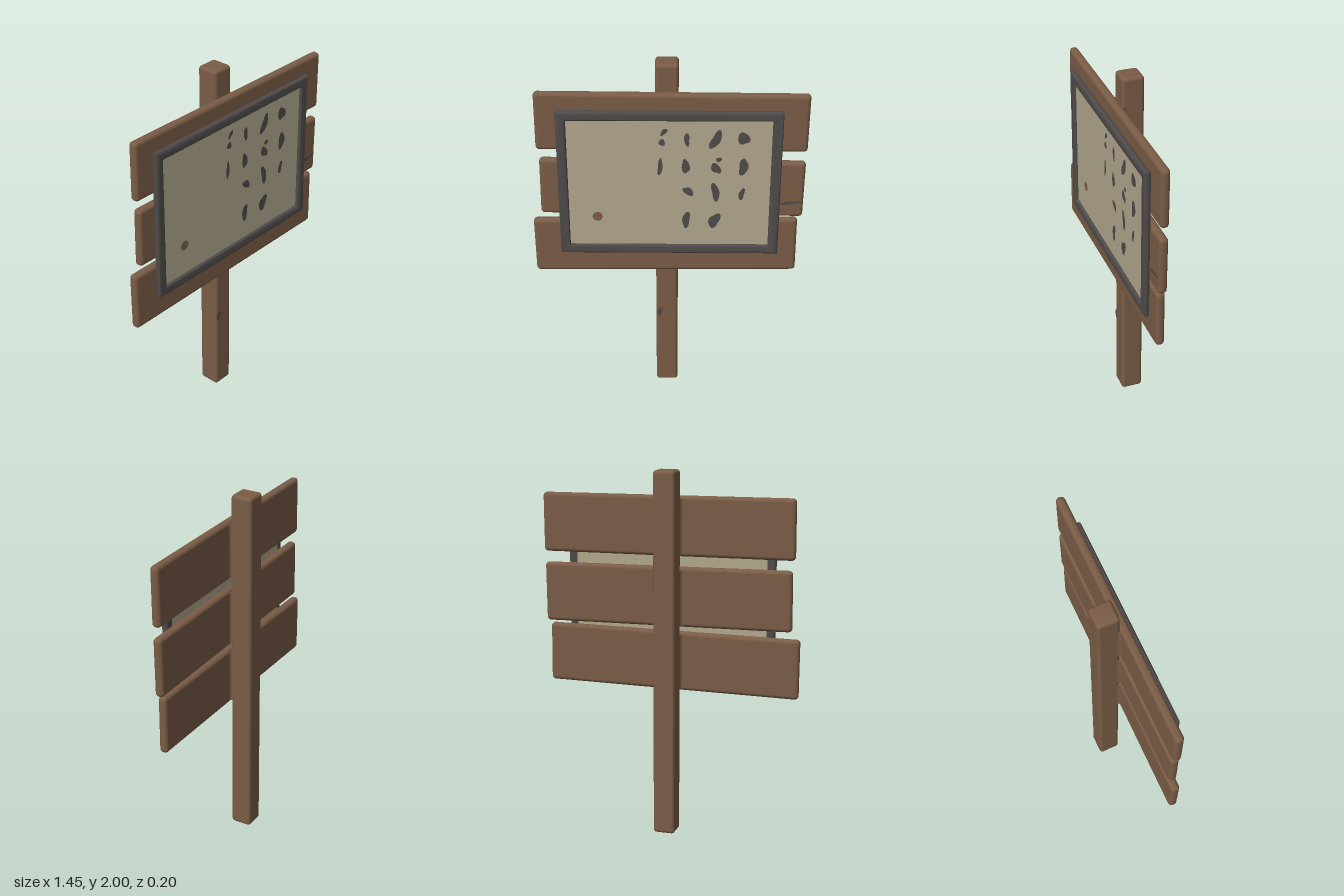
import * as THREE from 'three';
import { RoundedBoxGeometry } from 'three/addons/geometries/RoundedBoxGeometry.js';
import { toCreasedNormals } from 'three/addons/utils/BufferGeometryUtils.js';

const material = (name, color) => {
  const m = new THREE.MeshStandardMaterial({ color });
  m.name = name;
  return m;
};

export function createModel() {
  const model = new THREE.Group();
  model.name = 'noticeSign';
  const wood = material('brown wood', 0x7a5c46);
  const dark = material('charcoal', 0x504b4b);
  const paper = material('aged paper', 0xb1a78d);

  const add = (name, geometry, mat, x = 0, y = 0, z = 0, tilt = 0) => {
    const mesh = new THREE.Mesh(geometry, mat);
    mesh.name = name;
    mesh.position.set(x, y, z);
    mesh.rotation.z = tilt;
    model.add(mesh);
    return mesh;
  };

  // Square post with softened edges, standing behind the boards
  add('post', new RoundedBoxGeometry(0.12, 2, 0.12, 4, 0.018), wood, -0.01, 1, -0.04);

  // Concave fillet that blends a board into the post
  const filletShape = new THREE.Shape();
  filletShape.moveTo(-0.004, 0.004);
  filletShape.lineTo(0.022, 0.004);
  filletShape.lineTo(0.022, 0);
  filletShape.quadraticCurveTo(0, 0, 0, -0.022);
  filletShape.lineTo(-0.004, -0.022);
  filletShape.closePath();

  // Three slightly crooked boards: name, centre x, centre y, width, height, tilt
  const boards = [
    ['topBoard', 0.015, 1.696, 1.41, 0.325, -0.006],
    ['middleBoard', 0.0175, 1.312, 1.392, 0.328, -0.011],
    ['bottomBoard', -0.0175, 0.959, 1.412, 0.326, 0.008],
  ];
  for (const [name, x, y, w, h, tilt] of boards) {
    add(name, new RoundedBoxGeometry(w, h, 0.048, 4, 0.021), wood, x, y, 0.044, tilt);
    const fillet = new THREE.ExtrudeGeometry(filletShape,
      { depth: h - 0.03, bevelEnabled: false, curveSegments: 6 });
    fillet.rotateX(Math.PI / 2).scale(1, 1, 1);
    // The shape's y axis now runs along z and the extrusion runs downwards
    for (const side of [1, -1]) {
      const g = fillet.clone();
      if (side < 0) {
        // Mirrored copy with its triangles turned back outwards
        g.scale(-1, 1, 1);
        for (const key of ['position', 'normal']) {
          const a = g.attributes[key].array;
          for (let i = 0; i < a.length; i += 9) {
            for (let k = 0; k < 3; k++) [a[i + k], a[i + 3 + k]] = [a[i + 3 + k], a[i + k]];
          }
        }
      }
      add(name + 'Fillet', g, wood, -0.01 + side * 0.06, y + h / 2 - 0.015, 0.021);
    }
  }

  // Raised frame with bevelled edges and an open middle
  const corners = (path, l, b, r, t) => {
    path.moveTo(l, b);
    path.lineTo(r, b);
    path.lineTo(r, t);
    path.lineTo(l, t);
    path.closePath();
    return path;
  };
  const frameShape = corners(new THREE.Shape(), -0.564, 0.942, 0.57, 1.757);
  frameShape.holes.push(corners(new THREE.Path(), -0.544, 0.992, 0.546, 1.74));
  frameShape.holes[0] = corners(new THREE.Path(), -0.544, 0.962, 0.548, 1.737);
  const frameGeometry = new THREE.ExtrudeGeometry(frameShape, {
    depth: 0.012, bevelThickness: 0.012, bevelSize: 0.016, bevelSegments: 4,
  });
  add('frame', toCreasedNormals(frameGeometry, 0.8), dark, 0, 0, 0.076);

  // Paper panel set into the frame
  add('paperPanel', new THREE.BoxGeometry(1.09, 0.775, 0.016), paper, 0.002, 1.35, 0.074);

  // Irregular flat blot
  const blot = (rx, ry, seed) => {
    const points = [];
    for (let i = 0; i < 18; i++) {
      const a = (i / 18) * Math.PI * 2;
      const r = 1 + 0.16 * Math.sin(2 * a + seed) + 0.12 * Math.sin(3 * a + seed * 2.3);
      points.push(new THREE.Vector2(Math.cos(a) * rx * r, Math.sin(a) * ry * r));
    }
    return new THREE.ShapeGeometry(new THREE.Shape(points));
  };

  // Written marks on the paper: x, y, half width, half height, tilt
  const marks = [
    [-0.025, 1.655, 0.012, 0.024, -0.5], [-0.035, 1.595, 0.014, 0.022, 0],
    [-0.045, 1.452, 0.013, 0.047, -0.15],
    [0.093, 1.612, 0.016, 0.034, 0.1], [0.088, 1.455, 0.02, 0.043, 0.25],
    [0.103, 1.305, 0.018, 0.036, 0.7], [0.093, 1.132, 0.022, 0.045, -0.2],
    [0.243, 1.612, 0.025, 0.052, -0.35], [0.26, 1.496, 0.013, 0.015, 0],
    [0.245, 1.445, 0.022, 0.034, 0.3], [0.245, 1.302, 0.022, 0.05, 0.15],
    [0.242, 1.127, 0.029, 0.044, -0.2],
    [0.385, 1.62, 0.027, 0.04, 0.3], [0.388, 1.453, 0.025, 0.047, -0.3],
    [0.383, 1.29, 0.016, 0.032, -0.2],
  ];
  marks.forEach(([x, y, rx, ry, tilt], i) =>
    add('paperMark', blot(rx, ry, i * 1.7), dark, x, y, 0.0835, tilt));
  add('brownSpot', new THREE.CircleGeometry(0.027, 20), wood, -0.378, 1.15, 0.0835);

  // Cracks in the wood
  add('boardCrack', blot(0.05, 0.011, 1), dark, 0.64, 1.23, 0.0695, 0.1);
  add('postCrack', blot(0.011, 0.035, 2), dark, -0.05, 0.485, 0.0215, -0.25);

  return model;
}
